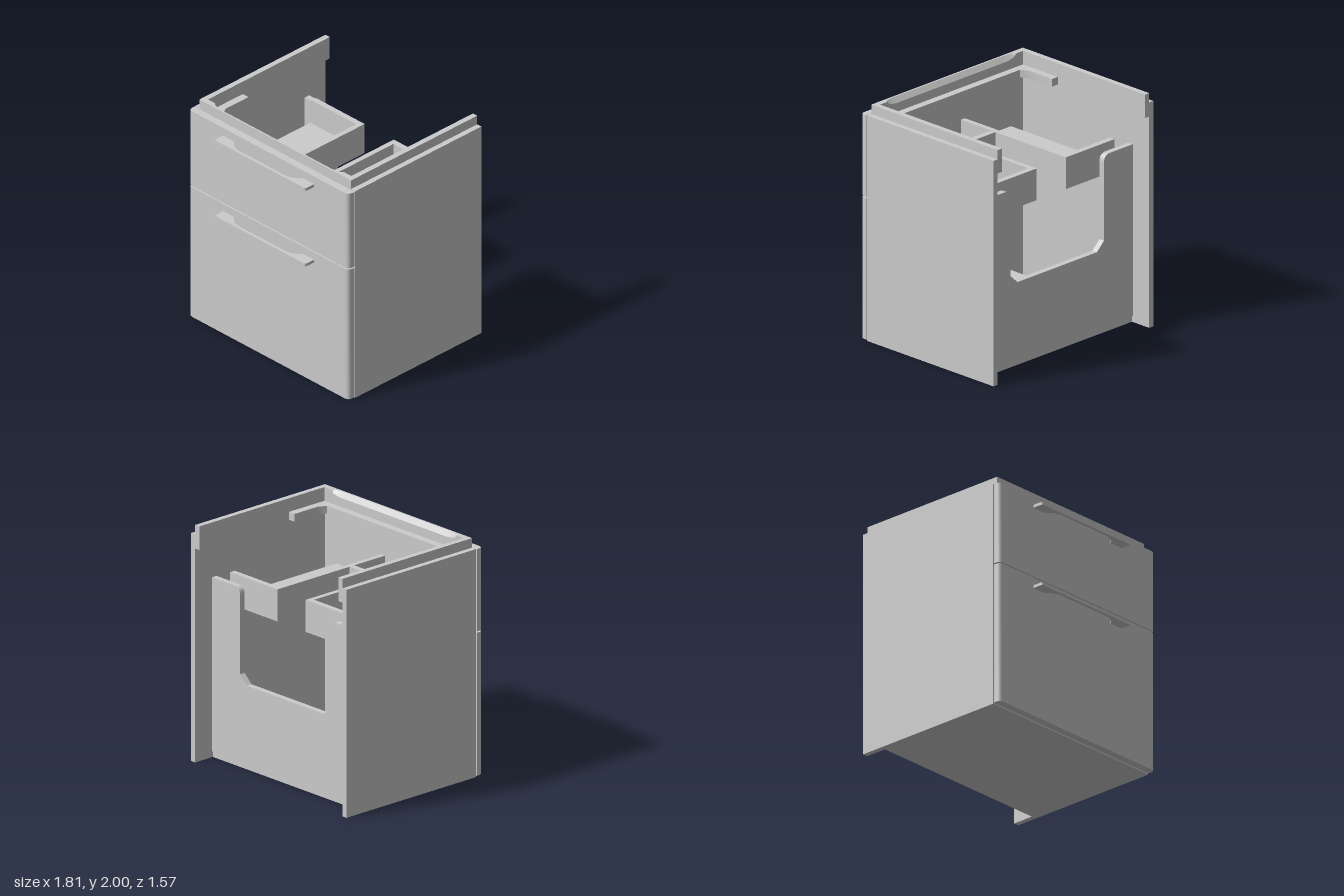
import * as THREE from 'three';
import { toCreasedNormals } from 'three/addons/utils/BufferGeometryUtils.js';

const material = new THREE.MeshStandardMaterial({ color: 0xcccccc });

export function createModel() {
  const group = new THREE.Group();

  const add = (name, geometry) => {
    const mesh = new THREE.Mesh(geometry, material);
    mesh.name = name;
    group.add(mesh);
    return mesh;
  };
  // Box given by its limits on each axis
  const box = (name, x0, x1, y0, y1, z0, z1) =>
    add(name, new THREE.BoxGeometry(x1 - x0, y1 - y0, z1 - z0))
      .position.set((x0 + x1) / 2, (y0 + y1) / 2, (z0 + z1) / 2);
  // Plan outline (shape y = -z) raised from y0 to y1
  const plan = (name, shape, y0, y1) => {
    const g = new THREE.ExtrudeGeometry(shape, { depth: y1 - y0, bevelEnabled: false, curveSegments: 8 });
    g.rotateX(-Math.PI / 2).translate(0, y0, 0);
    add(name, toCreasedNormals(g, 0.6));
  };
  const outline = (points) => new THREE.Shape(points.map(([x, z]) => new THREE.Vector2(x, -z)));
  // Half outline mirrored across x = 0
  const mirrored = (half) => outline([...half, ...half.map(([x, z]) => [-x, z]).reverse()]);

  // Carcass: side panels and the raised rails on their inner faces
  for (const s of [-1, 1]) {
    const side = (name, a, b, ...rest) => box(name, Math.min(s * a, s * b), Math.max(s * a, s * b), ...rest);
    side('sidePanel', 0.858, 0.905, 0, 1.92, -0.785, 0.615);
    side('sideRail', 0.81, 0.858, 1.8, 2, -0.785, 0.615);
  }
  box('bottomPanel', -0.858, 0.858, 0, 0.05, -0.595, 0.615);

  // Back panel with the pipe cutout
  const back = new THREE.Shape();
  back.moveTo(-0.858, 0.05);
  back.lineTo(0.858, 0.05);
  back.lineTo(0.858, 1.515);
  back.lineTo(0.6, 1.515);
  back.quadraticCurveTo(0.53, 1.515, 0.53, 1.445);
  back.lineTo(0.53, 0.785);
  back.lineTo(0.45, 0.71);
  back.lineTo(-0.45, 0.71);
  back.lineTo(-0.53, 0.785);
  back.lineTo(-0.53, 1.445);
  back.quadraticCurveTo(-0.53, 1.515, -0.6, 1.515);
  back.lineTo(-0.858, 1.515);
  const backGeometry = new THREE.ExtrudeGeometry(back, { depth: 0.05, bevelEnabled: false, curveSegments: 8 });
  add('backPanel', toCreasedNormals(backGeometry.translate(0, 0, -0.605), 0.6));

  // Front rail: cross-sections along x with a chamfer that fades in at both ends
  const xs = [0.81];
  for (let i = 0; i <= 8; i++) xs.push(0.73 - 0.13 * i / 8);
  const stations = [...xs.map((x) => -x), ...xs.reverse()];
  const rings = stations.map((x) => {
    const t = THREE.MathUtils.clamp((0.73 - Math.abs(x)) / 0.13, 0, 1);
    const c = Math.sqrt(1 - (1 - t) ** 2);
    return [[1.8, 0.615], [2, 0.615], [2, 0.565 + 0.035 * c], [2 - 0.04 * c, 0.565], [1.8, 0.565]]
      .map(([y, z]) => [x, y, z]);
  });
  const pos = [];
  const tri = (a, b, c) => pos.push(...a, ...b, ...c);
  for (let i = 0; i < rings.length - 1; i++) {
    for (let j = 0; j < 5; j++) {
      const k = (j + 1) % 5, a = rings[i], b = rings[i + 1];
      tri(a[j], b[j], b[k]);
      tri(a[j], b[k], a[k]);
    }
  }
  const first = rings[0], last = rings[rings.length - 1];
  for (let j = 1; j < 4; j++) {
    tri(first[0], first[j], first[j + 1]);
    tri(last[0], last[j + 1], last[j]);
  }
  const rail = new THREE.BufferGeometry();
  rail.setAttribute('position', new THREE.Float32BufferAttribute(pos, 3));
  rail.computeVertexNormals();
  add('frontRail', rail);

  // U-shaped ledge inside the rails
  plan('innerLedge', mirrored([
    [0.81, 0.565], [0.81, 0.18], [0.745, 0.18], [0.745, 0.43], [0.71, 0.5],
  ]), 1.82, 1.885);

  // Drawer fronts with rounded vertical edges, each with its handle
  const front = new THREE.Shape();
  front.moveTo(-0.905, -0.622);
  front.lineTo(-0.905, -0.64);
  front.quadraticCurveTo(-0.905, -0.688, -0.857, -0.688);
  front.lineTo(0.857, -0.688);
  front.quadraticCurveTo(0.905, -0.688, 0.905, -0.64);
  front.lineTo(0.905, -0.622);

  const handle = new THREE.Shape();
  handle.moveTo(-0.515, -0.685);
  handle.lineTo(-0.515, -0.765);
  handle.quadraticCurveTo(-0.515, -0.785, -0.495, -0.785);
  handle.lineTo(0.495, -0.785);
  handle.quadraticCurveTo(0.515, -0.785, 0.515, -0.765);
  handle.lineTo(0.515, -0.685);
  handle.lineTo(0.39, -0.685);
  handle.bezierCurveTo(0.37, -0.72, 0.31, -0.758, 0.26, -0.758);
  handle.lineTo(-0.26, -0.758);
  handle.bezierCurveTo(-0.31, -0.758, -0.37, -0.72, -0.39, -0.685);

  for (const [name, y0, y1, handleY] of [['upper', 1.224, 1.918, 1.822], ['lower', 0.008, 1.213, 1.12]]) {
    plan(name + 'DrawerFront', front, y0, y1);
    plan(name + 'DrawerHandle', handle, handleY, handleY + 0.025);
  }

  // Upper drawer: floor notched around the pipe, back walls and dividers
  plan('upperDrawerFloor', mirrored([
    [0.73, 0.622], [0.73, -0.54], [0.165, -0.54], [0.165, 0.2], [0.14, 0.235],
  ]), 1.31, 1.365);
  for (const s of [-1, 1]) {
    const c = s * 0.1875, w = s * 0.4625;
    box('drawerDivider', c - 0.0225, c + 0.0225, 1.365, 1.58, -0.54, 0.622);
    box('drawerBackWall', w - 0.2525, w + 0.2525, 1.365, 1.58, -0.54, -0.49);
  }
  box('drawerCrossWall', -0.165, 0.165, 1.365, 1.58, 0.24, 0.29);

  // Lower drawer floor
  box('lowerDrawerFloor', -0.73, 0.73, 0.085, 0.14, -0.54, 0.622);

  return group;
}
